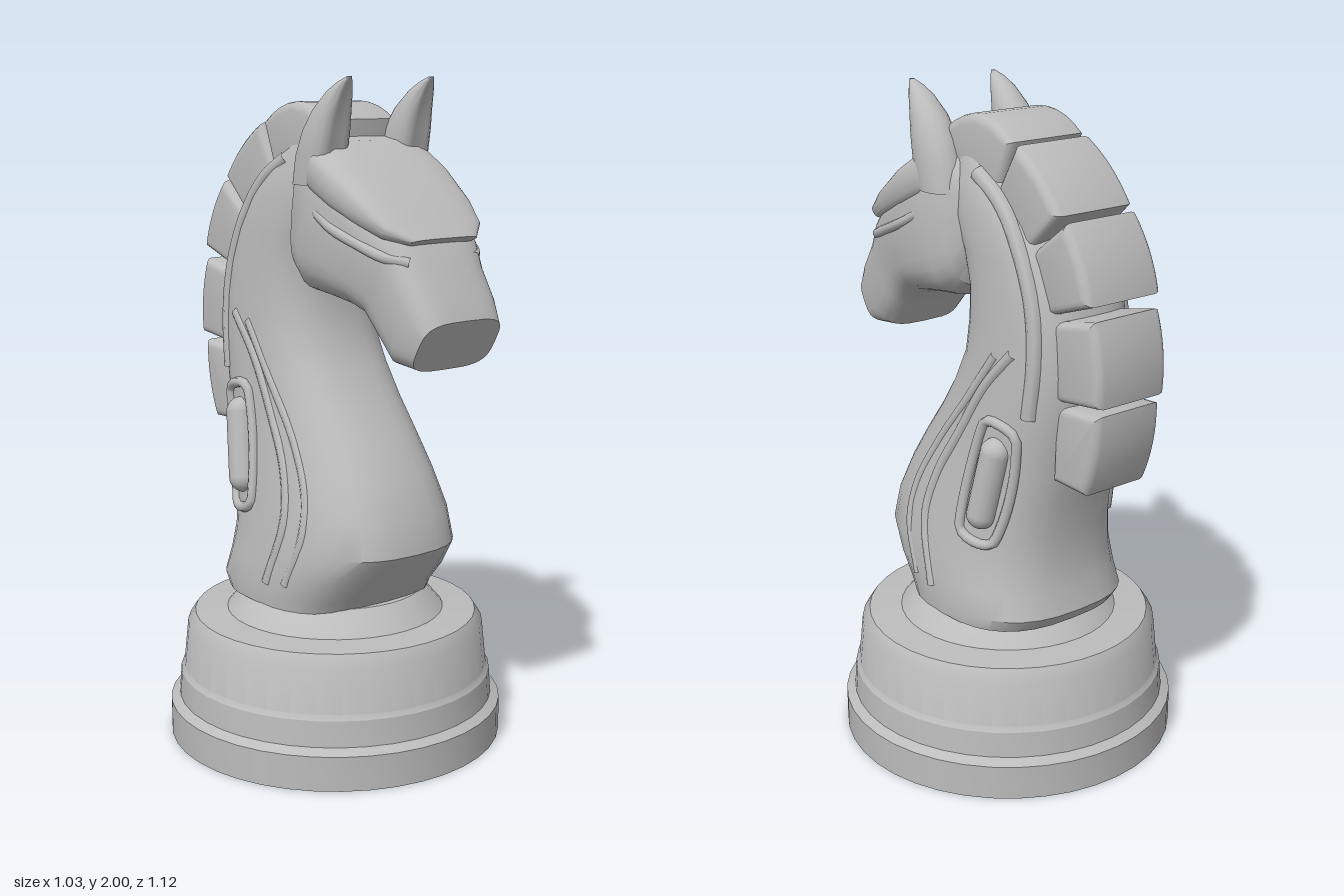
import * as THREE from 'three';
import { toCreasedNormals } from 'three/addons/utils/BufferGeometryUtils.js';

const V = (x, y, z) => new THREE.Vector3(x, y, z);
const spow = (v, p) => Math.sign(v) * Math.abs(v) ** p;

// Rounded-box ring between points a and b, each [z, y], with half width w; dent hollows the a side
function ring(a, b, w, n, x0 = 0, dent = 0, count = 32) {
  const pts = [];
  for (let i = 0; i < count; i++) {
    const t = (i / count) * Math.PI * 2;
    const u = spow(Math.cos(t), 2 / n), v = spow(Math.sin(t), 2 / n);
    const k = 0.5 + v * (v > 0 ? 1 - dent * (1 - Math.abs(u)) : 1) / 2;
    pts.push(V(x0 + w * u, b[1] + (a[1] - b[1]) * k, b[0] + (a[0] - b[0]) * k));
  }
  return pts;
}

// Closed skin over a list of rings, wound so that it faces outward
function loft(rings, crease = 0.6) {
  const n = rings[0].length, pts = rings.flat(), idx = [];
  for (let r = 0; r < rings.length - 1; r++) {
    for (let i = 0; i < n; i++) {
      const a = r * n + i, b = r * n + (i + 1) % n;
      idx.push(a, b, a + n, b, b + n, a + n);
    }
  }
  for (const r of [0, rings.length - 1]) {
    const c = rings[r].reduce((s, p) => s.add(p), V(0, 0, 0)).divideScalar(n);
    pts.push(c);
    for (let i = 0; i < n; i++) {
      const a = r * n + i, b = r * n + (i + 1) % n;
      idx.push(...(r ? [a, b, pts.length - 1] : [b, a, pts.length - 1]));
    }
  }
  let volume = 0;
  for (let i = 0; i < idx.length; i += 3) {
    volume += pts[idx[i]].dot(pts[idx[i + 1]].clone().cross(pts[idx[i + 2]]));
  }
  if (volume < 0) idx.reverse();
  const g = new THREE.BufferGeometry().setFromPoints(pts);
  g.setIndex(idx);
  return toCreasedNormals(g, crease);
}

// Neck rows: y, front z, back z, half width
const NECK = [
  [0.45, 0.22, -0.33, 0.285], [0.49, 0.245, -0.36, 0.288], [0.56, 0.31, -0.34, 0.282],
  [0.64, 0.365, -0.33, 0.272], [0.74, 0.345, -0.335, 0.258], [0.85, 0.29, -0.355, 0.24],
  [0.95, 0.225, -0.38, 0.225], [1.05, 0.15, -0.40, 0.215], [1.15, 0.085, -0.42, 0.207],
  [1.25, 0.035, -0.425, 0.2], [1.35, 0.02, -0.42, 0.195], [1.45, 0.02, -0.40, 0.19],
  [1.55, 0.05, -0.365, 0.185], [1.65, 0.1, -0.30, 0.18], [1.74, 0.1, -0.21, 0.165], [1.81, 0.08, -0.1, 0.14],
];
const NECK_N = 2.7;

// Half width of the neck surface at a given height and depth
function neckX(y, z) {
  let i = 0;
  while (i < NECK.length - 2 && NECK[i + 1][0] < y) i++;
  const k = (y - NECK[i][0]) / (NECK[i + 1][0] - NECK[i][0]);
  const [f, b, w] = [1, 2, 3].map((c) => THREE.MathUtils.lerp(NECK[i][c], NECK[i + 1][c], k));
  const t = Math.min(0.97, Math.abs((z - (f + b) / 2) / ((f - b) / 2)));
  return w * (1 - t ** NECK_N) ** (1 / NECK_N);
}

export function createModel() {
  const model = new THREE.Group();
  const stone = new THREE.MeshStandardMaterial({ color: 0xbcbcbc });
  stone.name = 'grey stone';
  const add = (name, geo) => {
    const m = new THREE.Mesh(geo, stone);
    m.name = name;
    model.add(m);
    return m;
  };
  const tube = (pts, r, closed = false) =>
    new THREE.TubeGeometry(new THREE.CatmullRomCurve3(pts, closed), 40, r, 8, closed);

  // Stepped round base
  const profile = [
    [0, 0], [0.515, 0], [0.515, 0.105], [0.488, 0.122], [0.482, 0.2], [0.472, 0.215],
    [0.458, 0.35], [0.435, 0.385], [0.335, 0.392], [0.285, 0.45], [0.27, 0.462], [0, 0.462],
  ].map(([x, y]) => new THREE.Vector2(x, y));
  add('base', toCreasedNormals(new THREE.LatheGeometry(profile, 40), 0.5)).position.z = -0.022;

  // Neck and chest
  add('neck', loft(NECK.map(([y, f, b, w]) => ring([f, y], [b, y], w, NECK_N))));

  // Head: upper point, lower point, half width
  add('head', loft([
    [[-0.03, 1.79], [-0.02, 1.48], 0.15], [[0.05, 1.83], [0.0, 1.42], 0.195],
    [[0.15, 1.81], [0.05, 1.385], 0.214], [[0.26, 1.74], [0.15, 1.375], 0.213],
    [[0.36, 1.65], [0.23, 1.362], 0.197], [[0.44, 1.57], [0.285, 1.34], 0.178],
    [[0.475, 1.5], [0.325, 1.29], 0.168], [[0.53, 1.42], [0.39, 1.215], 0.16],
    [[0.56, 1.35], [0.478, 1.205], 0.145],
  ].map(([a, b, w]) => ring(a, b, w, 3.6))));

  // Brow shell over the eyes
  add('brow', loft([
    [[0.05, 1.84], [0.04, 1.68], 0.19], [[0.15, 1.822], [0.13, 1.655], 0.221],
    [[0.25, 1.76], [0.21, 1.62], 0.221], [[0.36, 1.675], [0.31, 1.585], 0.203],
    [[0.43, 1.61], [0.385, 1.56], 0.178], [[0.474, 1.568], [0.44, 1.548], 0.12],
  ].map(([a, b, w]) => ring(a, b, w, 3.4))));

  // Mane blocks: outer top, outer bottom, inner bottom, inner top as [z, y], then half width
  const blocks = [
    [[0.1, 1.88], [-0.195, 1.87], [-0.14, 1.72], [0.09, 1.76], 0.14],
    [[-0.215, 1.865], [-0.395, 1.7], [-0.27, 1.58], [-0.13, 1.72], 0.142],
    [[-0.415, 1.685], [-0.52, 1.475], [-0.36, 1.42], [-0.28, 1.58], 0.138],
    [[-0.525, 1.435], [-0.555, 1.195], [-0.38, 1.175], [-0.36, 1.4], 0.13],
    [[-0.545, 1.17], [-0.495, 0.925], [-0.36, 0.93], [-0.37, 1.16], 0.122],
  ];
  blocks.forEach(([a, b, c, d, w], i) => {
    const bulge = i ? 0.03 : 0.11;
    const len = Math.hypot(b[0] - a[0], b[1] - a[1]);
    const shape = new THREE.Shape();
    shape.moveTo(...a);
    shape.quadraticCurveTo(
      (a[0] + b[0]) / 2 + (b[1] - a[1]) / len * bulge,
      (a[1] + b[1]) / 2 - (b[0] - a[0]) / len * bulge, ...b);
    shape.lineTo(...c);
    shape.lineTo(...d);
    const bevel = 0.025;
    const geo = new THREE.ExtrudeGeometry(shape, {
      depth: 2 * (w - bevel), curveSegments: 8, bevelThickness: bevel,
      bevelSize: bevel, bevelOffset: -bevel, bevelSegments: 3,
    });
    geo.translate(0, 0, bevel - w).rotateY(-Math.PI / 2);
    add('maneBlock', toCreasedNormals(geo, 0.7));
  });

  for (const s of [-1, 1]) {
    // Ear with a hollow front: y, front z, back z, half width, centre x
    add('ear', loft([
      [1.7, 0.17, 0.01, 0.06, 0.155], [1.78, 0.195, 0.025, 0.066, 0.152], [1.85, 0.207, 0.055, 0.062, 0.151],
      [1.91, 0.218, 0.095, 0.05, 0.15], [1.96, 0.229, 0.15, 0.034, 0.15],
      [1.985, 0.235, 0.19, 0.02, 0.15], [2.0, 0.24, 0.225, 0.006, 0.15],
    ].map(([y, f, b, w, x]) => ring([f, y], [b, y], w, 2.1, s * x, 0.35, 20)), 0.9));

    // Lower eyelid under the brow
    add('eyelid', tube([
      V(s * 0.2, 1.625, 0.15), V(s * 0.205, 1.585, 0.23), V(s * 0.19, 1.55, 0.32),
      V(s * 0.167, 1.52, 0.4), V(s * 0.12, 1.505, 0.455),
    ], 0.016));

    // Ridges following the neck surface, given as [z, y]
    const ridge = (name, path, r, sink) =>
      add(name, tube(path.map(([z, y]) => V(s * (neckX(y, z) - sink), y, z)), r));
    ridge('crestRidge', [[-0.06, 1.77], [-0.17, 1.7], [-0.26, 1.58], [-0.32, 1.43], [-0.335, 1.28], [-0.32, 1.12]], 0.026, 0.014);
    ridge('shoulderRidge', [[-0.27, 1.3], [-0.16, 1.18], [-0.06, 1.02], [0.03, 0.86], [0.06, 0.72], [0.0, 0.52]], 0.02, 0.012);
    ridge('chestRidge', [[-0.2, 1.28], [-0.08, 1.12], [0.05, 0.95], [0.13, 0.8], [0.14, 0.68], [0.08, 0.53]], 0.018, 0.012);

    // Slanted capsule inside an oval frame
    const slant = 0.2, cz = -0.2, cy = 0.9;
    const frame = [];
    for (let i = 0; i < 24; i++) {
      const t = (i / 24) * Math.PI * 2;
      const u = 0.075 * spow(Math.cos(t), 0.7);
      const v = 0.13 * Math.sign(Math.sin(t)) * Math.min(1, Math.abs(Math.sin(t)) * 1.5) + 0.06 * Math.sin(t);
      const y = cy + v * Math.cos(slant) + u * Math.sin(slant);
      const z = cz - v * Math.sin(slant) + u * Math.cos(slant);
      frame.push(V(s * (neckX(y, z) + 0.002), y, z));
    }
    add('capsuleFrame', tube(frame, 0.016, true));
    const capsule = add('capsule', new THREE.CapsuleGeometry(0.046, 0.2, 6, 14));
    const lo = V(s * (neckX(0.78, -0.176) - 0.004), 0.78, -0.176);
    const hi = V(s * (neckX(1.02, -0.224) - 0.004), 1.02, -0.224);
    capsule.position.copy(lo).add(hi).multiplyScalar(0.5);
    capsule.quaternion.setFromUnitVectors(V(0, 1, 0), hi.sub(lo).normalize());
  }
  return model;
}
